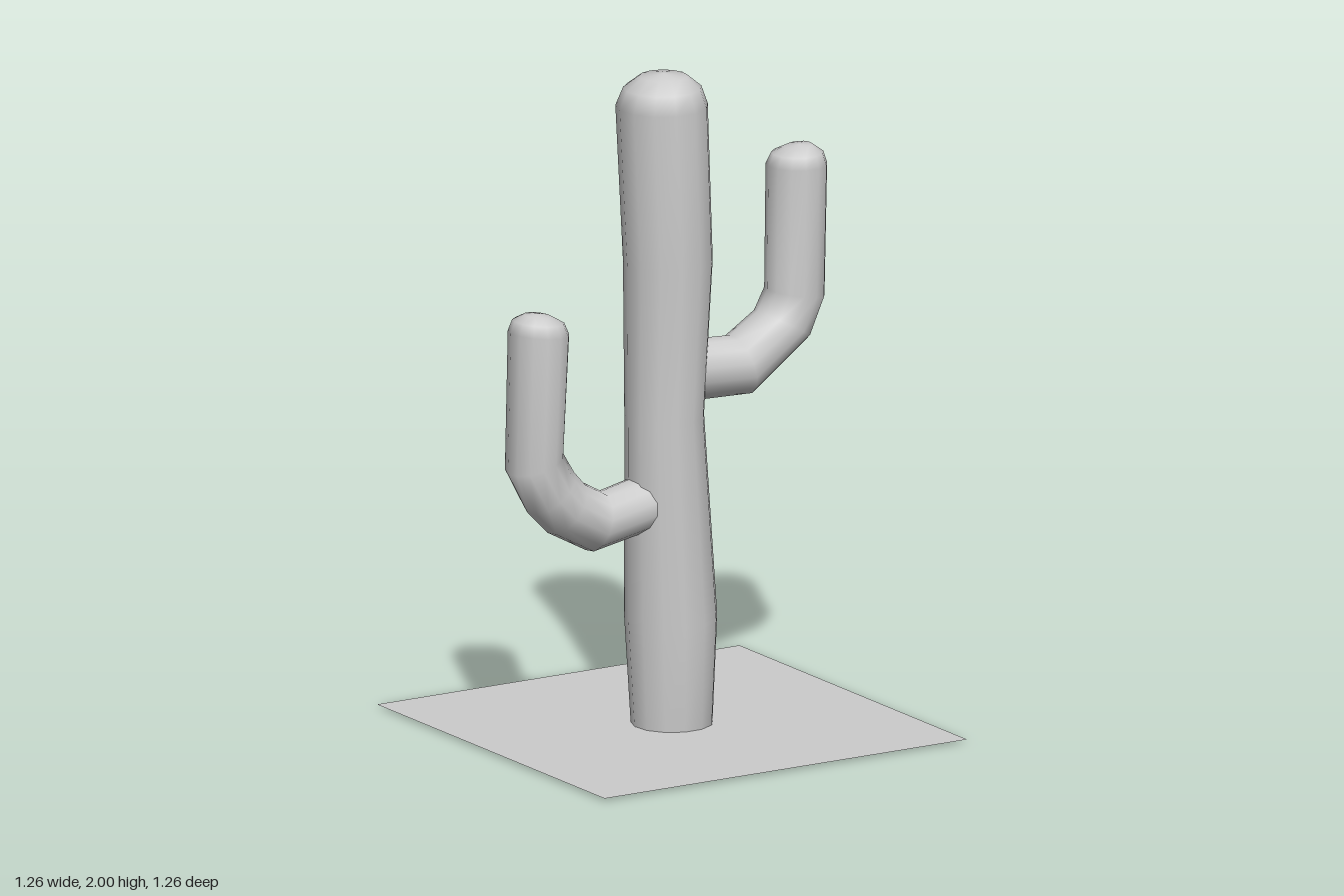
import * as THREE from 'three';

const SIDES = 13;
const material = new THREE.MeshStandardMaterial({ color: 0xcccccc, side: THREE.DoubleSide });

// Skin a limb over rings given as [centre x, centre y, radius, tilt about z].
function limb(name, rings) {
  const positions = [];
  const index = [];
  rings.forEach(([x, y, r, tilt], row) => {
    for (let i = 0; i < SIDES; i++) {
      const t = (i / SIDES) * Math.PI * 2 - Math.PI / 2;
      const across = r * Math.cos(t);
      positions.push(x + across * Math.cos(tilt), y - across * Math.sin(tilt), r * Math.sin(t));
      if (row === rings.length - 1) continue;
      const next = (i + 1) % SIDES;
      const a = row * SIDES + i;
      const b = row * SIDES + next;
      index.push(a, a + SIDES, b, b, a + SIDES, b + SIDES);
    }
  });
  const geometry = new THREE.BufferGeometry();
  geometry.setAttribute('position', new THREE.Float32BufferAttribute(positions, 3));
  geometry.setIndex(index);
  geometry.computeVertexNormals();
  const mesh = new THREE.Mesh(geometry, material);
  mesh.name = name;
  return mesh;
}

export function createModel() {
  const group = new THREE.Group();
  group.name = 'cactus';

  // Slightly wavy trunk with an open base and a rounded tip
  group.add(limb('trunk', [
    [0, 0, 0.122, 0],
    [-0.003, 0.33, 0.139, 0],
    [-0.026, 0.95, 0.119, 0],
    [-0.013, 1.42, 0.134, 0],
    [-0.035, 1.9, 0.138, 0],
    [-0.033, 1.955, 0.117, 0],
    [-0.03, 1.99, 0.072, 0],
    [-0.03, 2, 0.001, 0],
  ]));

  // Higher arm on the model's left
  group.add(limb('leftArm', [
    [0, 1.08, 0.092, 1.57],
    [0.235, 1.07, 0.094, 1.3],
    [0.385, 1.175, 0.092, 0.51],
    [0.428, 1.265, 0.091, 0.17],
    [0.435, 1.655, 0.092, 0.02],
    [0.438, 1.69, 0.078, 0],
    [0.441, 1.71, 0.042, -0.1],
    [0.442, 1.715, 0.001, 0],
  ]));

  // Lower arm on the model's right
  group.add(limb('rightArm', [
    [-0.02, 0.71, 0.09, -1.4],
    [-0.267, 0.66, 0.091, -1.26],
    [-0.373, 0.718, 0.091, -0.94],
    [-0.427, 0.775, 0.092, -0.71],
    [-0.48, 0.87, 0.09, -0.29],
    [-0.465, 1.265, 0.092, 0.1],
    [-0.466, 1.3, 0.078, 0.1],
    [-0.47, 1.32, 0.042, 0.1],
    [-0.471, 1.326, 0.001, 0],
  ]));

  // Flat square of ground just above the trunk's base
  const ground = new THREE.Mesh(new THREE.PlaneGeometry(1.265, 1.265), material);
  ground.rotation.x = -Math.PI / 2;
  ground.position.y = 0.008;
  ground.name = 'groundPatch';
  group.add(ground);

  return group;
}
